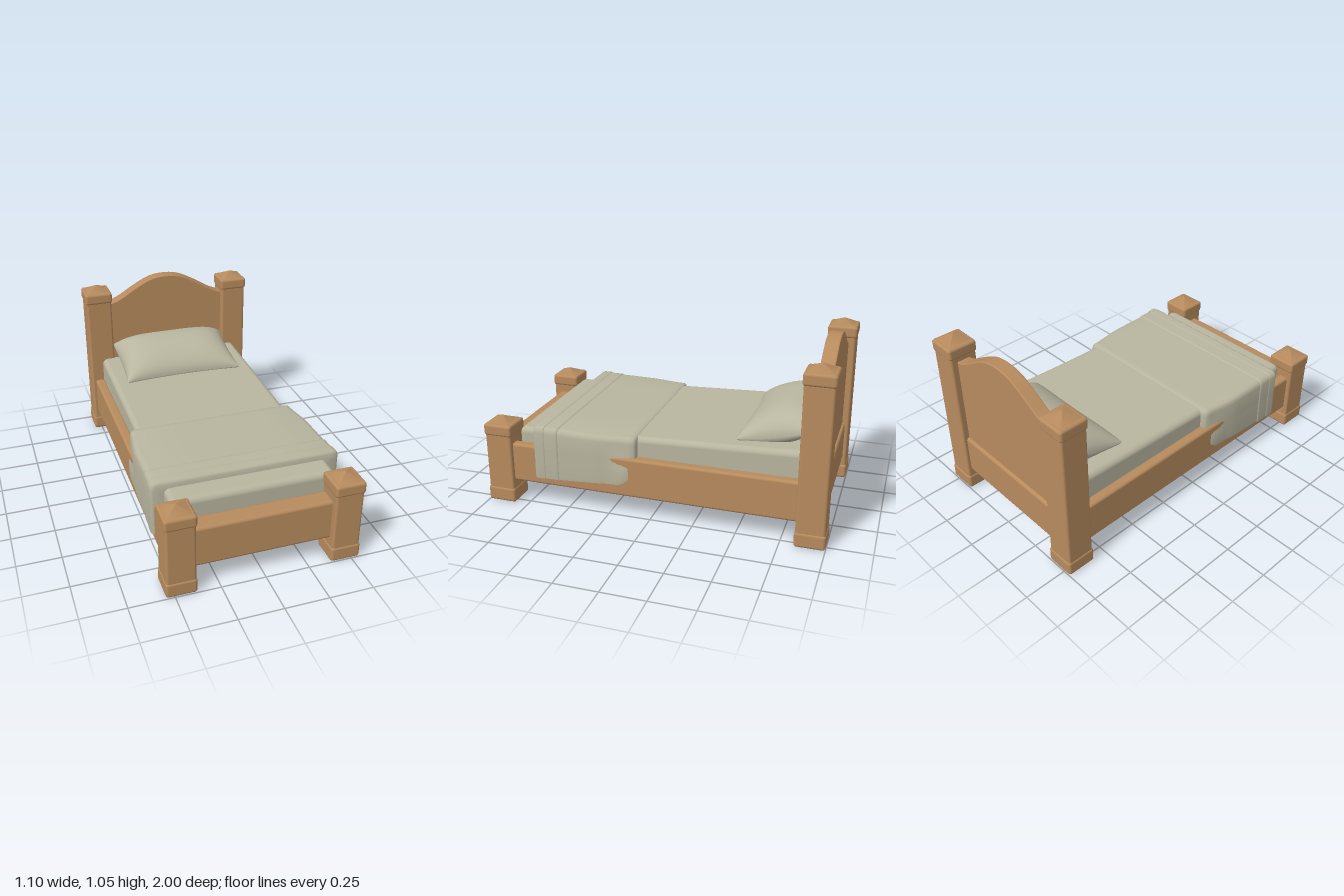
import * as THREE from 'three';
import { toCreasedNormals } from 'three/addons/utils/BufferGeometryUtils.js';
import { RoundedBoxGeometry } from 'three/addons/geometries/RoundedBoxGeometry.js';

const wood = new THREE.MeshStandardMaterial({ color: 0xb78b5e });
wood.name = 'wood';
const linen = new THREE.MeshStandardMaterial({ color: 0xb8b59f });
linen.name = 'linen';

function add(parent, name, geometry, material, x = 0, y = 0, z = 0) {
  const mesh = new THREE.Mesh(geometry, material);
  mesh.name = name;
  mesh.position.set(x, y, z);
  parent.add(mesh);
  return mesh;
}

// Rounded box given by its lower and upper limits
function block(parent, name, material, [x0, x1], [y0, y1], [z0, z1], r = 0.016) {
  const geo = new RoundedBoxGeometry(x1 - x0, y1 - y0, z1 - z0, 3, r);
  return add(parent, name, geo, material, (x0 + x1) / 2, (y0 + y1) / 2, (z0 + z1) / 2);
}

// Skin through closed rings of [x, y, z]; ring point k faces point N-1-k on the end caps
function loft(rings) {
  const n = rings[0].length, last = (rings.length - 1) * n, index = [];
  for (let i = 0; i < rings.length - 1; i++) {
    for (let j = 0; j < n; j++) {
      const a = i * n + j, b = i * n + (j + 1) % n;
      index.push(a, b, b + n, a, b + n, a + n);
    }
  }
  for (let k = 0; k < n / 2 - 1; k++) {
    const a = k, b = k + 1, c = n - 2 - k, d = n - 1 - k;
    index.push(last + a, last + b, last + c, last + a, last + c, last + d);
    index.push(a, c, b, a, d, c);
  }
  const geo = new THREE.BufferGeometry();
  geo.setAttribute('position', new THREE.Float32BufferAttribute(rings.flat(2), 3));
  geo.setIndex(index);
  geo.computeVertexNormals();
  return geo;
}

// Square post with foot block, shaft, cap and low softly shaded pyramid
function post(name, x, z, height) {
  const g = new THREE.Group();
  g.name = name;
  const neck = height - 0.105, shoulder = height - 0.038;
  const sides = (w) => [-w, w];
  block(g, 'footBlock', wood, sides(0.086), [0, 0.09], sides(0.086));
  block(g, 'shaft', wood, sides(0.081), [0.07, neck + 0.02], sides(0.081), 0.014);
  block(g, 'cap', wood, sides(0.087), [neck, shoulder + 0.004], sides(0.087));
  const pyramid = new THREE.CylinderGeometry(0.003, 0.083 * Math.SQRT2, 0.042, 4, 1);
  pyramid.rotateY(Math.PI / 4);
  add(g, 'pyramid', pyramid, wood, 0, height - 0.021, 0);
  g.position.set(x, 0, z);
  return g;
}

// Arched panel between the head posts
function headboardPanel() {
  const half = [[0.4, 0.885], [0.36, 0.892], [0.3, 0.918], [0.2, 0.978], [0.1, 1.026]];
  const pts = [...half, [0, 1.04], ...half.map(([x, y]) => [-x, y]).reverse()];
  const curve = new THREE.SplineCurve(pts.map(([x, y]) => new THREE.Vector2(x, y)));
  const shape = new THREE.Shape([
    new THREE.Vector2(-0.4, 0.3), new THREE.Vector2(0.4, 0.3), ...curve.getPoints(48),
  ]);
  const geo = new THREE.ExtrudeGeometry(shape, {
    depth: 0.064, bevelEnabled: true, bevelSize: 0.006, bevelThickness: 0.008, bevelSegments: 2,
  });
  return toCreasedNormals(geo, 0.25);
}

// Band of cloth over the mattress, hanging down on both sides
function drape(z0, z1, grow, e) {
  const ss = THREE.MathUtils.smoothstep;
  const steps = 20, stops = [[z0, e], [z0 + e * 0.35, e * 0.35]];
  for (let i = 0; i <= steps; i++) stops.push([z0 + e + (z1 - z0 - 2 * e) * i / steps, 0]);
  stops.push([z1 - e * 0.35, e * 0.35], [z1, e]);
  const rings = stops.map(([z, inset]) => {
    const g = grow - inset;
    const t = ss(z, 0.08, 0.34), flare = ss(z, 0.08, 0.14);
    const side = 0.503 + 0.027 * t + g;
    const low = Math.max(side, 0.503 + 0.022 * flare + g);
    const top = 0.488 + 0.006 * ss(z, 0.1, 0.6) + g;
    const hem = 0.205 - 0.022 * ss(z, 0.12, 0.65) + 0.05 * (1 - ss(z, 0.09, 0.18));
    const outer = [
      [low, hem], [low + 0.002, hem + 0.02], [low, 0.31], [side, 0.36], [side, top - 0.035],
      [side - 0.004, top - 0.018], [side - 0.014, top - 0.005], [side - 0.035, top], [0.25, top],
    ];
    const inner = outer.map(([x, y], k) => [k < 8 ? 0.462 : x, Math.min(y, 0.44)]);
    const right = (p) => p.map(([x, y]) => [x, y, z]);
    const left = (p) => p.map(([x, y]) => [-x, y, z]).reverse();
    return [...right(outer), ...left(outer), ...left(inner).reverse(), ...right(inner).reverse()];
  });
  return toCreasedNormals(loft(rings), 0.9);
}

// Plump pillow with pinched corners, resting on the mattress and leaning on the headboard
function pillow() {
  const nu = 40, nv = 24, rings = [];
  for (let i = 0; i <= nu; i++) {
    const u = -Math.cos(Math.PI * i / nu);
    const bottom = [], top = [];
    for (let j = 0; j <= nv; j++) {
      const v = Math.cos(Math.PI * j / nv), back = (1 - v) / 2;
      const x = u * (0.38 - 0.016 * (1 - v * v));
      const z = -0.667 + v * (0.207 - (v > 0 ? 0.022 : 0.006) * (1 - u * u));
      const puff = Math.pow((1 - u ** 4) * (1 - v * v), 0.5);
      const mid = 0.51 + 0.09 * Math.pow(back, 1.8);
      bottom.push([x, Math.max(mid - 0.085 * puff, 0.5), z]);
      top.push([x, mid + (0.138 - 0.012 * v) * puff, z]);
    }
    rings.push([...bottom, ...top.reverse()]);
  }
  return loft(rings);
}

export function createModel() {
  const bed = new THREE.Group();
  bed.name = 'bed';

  // Posts and side rails, mirrored left and right
  for (const [label, s] of [['left', 1], ['right', -1]]) {
    bed.add(post(label + 'HeadPost', s * 0.463, -0.914, 1.018));
    bed.add(post(label + 'FootPost', s * 0.463, 0.914, 0.52));
    const span = s > 0 ? [0.458, 0.52] : [-0.52, -0.458];
    block(bed, label + 'SideRail', wood, span, [0.135, 0.37], [-0.85, 0.85]);
  }

  // Cross rails and headboard
  block(bed, 'headRail', wood, [-0.4, 0.4], [0.13, 0.37], [-0.972, -0.862], 0.018);
  block(bed, 'footRail', wood, [-0.4, 0.4], [0.13, 0.37], [0.842, 0.955], 0.018);
  add(bed, 'headboard', headboardPanel(), wood, 0, 0, -0.947);

  // Mattress, its top sloping gently towards the foot
  const mattress = block(bed, 'mattress', linen, [-0.465, 0.465], [0.29, 0.488], [-0.868, 0.815], 0.035);
  const p = mattress.geometry.attributes.position;
  for (let i = 0; i < p.count; i++) {
    if (p.getY(i) > 0) p.setY(i, p.getY(i) - 0.038 * p.getZ(i));
  }

  // Bedding
  add(bed, 'blanket', drape(0.08, 0.685, 0, 0.016), linen);
  add(bed, 'blanketFold', drape(0.535, 0.69, 0.004, 0.014), linen);
  add(bed, 'blanketHem', drape(0.615, 0.692, 0.008, 0.016), linen);
  add(bed, 'pillow', pillow(), linen);
  return bed;
}
